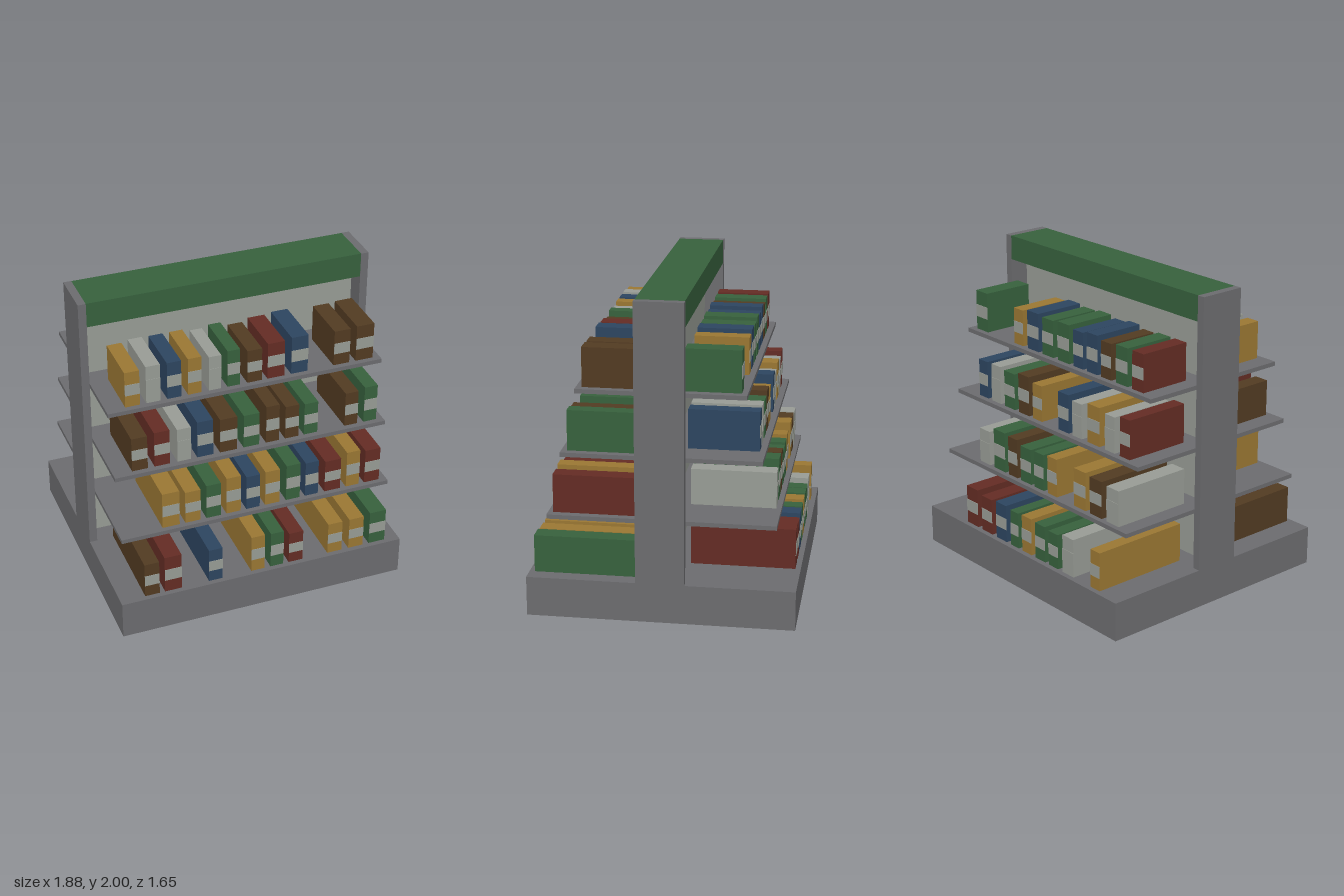
import * as THREE from 'three';

const mat = (name, color, side = THREE.FrontSide) => {
  const m = new THREE.MeshStandardMaterial({ color, side });
  m.name = name;
  return m;
};

export function createModel() {
  const metal = mat('metal grey', 0x6c6c6f, THREE.DoubleSide);
  const pale = mat('pale grey', 0x989c95);
  const green = mat('green', 0x37613d);
  const colours = {
    y: mat('mustard', 0x9a7733), w: pale, b: mat('navy', 0x2d4560), g: green,
    n: mat('brown', 0x523b22), r: mat('dark red', 0x642c24),
  };

  const group = new THREE.Group();
  group.name = 'shelfUnit';

  // Box given by its min and max on each axis
  const box = (name, material, x0, x1, y0, y1, z0, z1, parent = group) => {
    const mesh = new THREE.Mesh(new THREE.BoxGeometry(x1 - x0, y1 - y0, z1 - z0), material);
    mesh.position.set((x0 + x1) / 2, (y0 + y1) / 2, (z0 + z1) / 2);
    mesh.name = name;
    parent.add(mesh);
    return mesh;
  };

  // Hollow plinth, open underneath: drop the six indices of the bottom face
  const plinth = box('plinth', metal, -0.94, 0.94, 0, 0.25, -0.825, 0.825);
  const index = Array.from(plinth.geometry.index.array);
  index.splice(18, 6);
  plinth.geometry.setIndex(index);
  plinth.geometry.clearGroups();

  // Frame: end posts, central panel and header
  box('leftPost', metal, 0.89, 0.94, 0, 2, -0.15, 0.15);
  box('rightPost', metal, -0.94, -0.89, 0, 2, -0.15, 0.15);
  box('backPanel', pale, -0.89, 0.89, 0.25, 1.84, -0.025, 0.025);
  box('header', green, -0.89, 0.89, 1.84, 2, -0.148, 0.148);

  // Shelves get shallower towards the top
  [[0.645, 0.70], [1.045, 0.61], [1.445, 0.513]].forEach(([y, z], i) =>
    box(`shelf${i + 1}`, metal, -0.89, 0.89, y - 0.027, y, -z, z));

  // Each item: colour, left x, right x, height
  const frontRows = [
    [['n', -0.78, -0.685, 0.24], ['r', -0.65, -0.54, 0.26], ['b', -0.36, -0.27, 0.237],
      ['y', -0.077, 0.013, 0.26], ['g', 0.053, 0.14, 0.255], ['r', 0.177, 0.272, 0.223],
      ['y', 0.444, 0.542, 0.223], ['y', 0.59, 0.69, 0.223], ['g', 0.733, 0.844, 0.237]],
    [['y', -0.616, -0.505, 0.25], ['y', -0.468, -0.368, 0.226], ['g', -0.33, -0.235, 0.242],
      ['y', -0.198, -0.103, 0.263], ['b', -0.066, 0.024, 0.242], ['y', 0.06, 0.156, 0.247],
      ['g', 0.201, 0.294, 0.258], ['b', 0.33, 0.418, 0.247], ['r', 0.463, 0.571, 0.226],
      ['y', 0.611, 0.701, 0.258], ['r', 0.738, 0.841, 0.242]],
    [['n', -0.77, -0.67, 0.231], ['r', -0.627, -0.529, 0.242], ['w', -0.481, -0.392, 0.231],
      ['b', -0.352, -0.249, 0.253], ['n', -0.204, -0.093, 0.237], ['g', -0.05, 0.053, 0.231],
      ['n', 0.098, 0.185, 0.26], ['n', 0.225, 0.315, 0.231], ['g', 0.352, 0.442, 0.223],
      ['n', 0.627, 0.714, 0.237], ['g', 0.757, 0.844, 0.253]],
    [['y', -0.77, -0.677, 0.239], ['w', -0.638, -0.548, 0.253], ['b', -0.505, -0.415, 0.25],
      ['y', -0.373, -0.288, 0.25], ['w', -0.24, -0.161, 0.234], ['g', -0.12, -0.04, 0.25],
      ['n', 0.008, 0.103, 0.223], ['r', 0.14, 0.251, 0.245], ['b', 0.296, 0.405, 0.255],
      ['n', 0.579, 0.685, 0.239], ['n', 0.728, 0.844, 0.245]],
  ];
  const backRows = [
    [['y', -0.756, -0.671, 0.25], ['w', -0.51, -0.405, 0.25], ['g', -0.36, -0.27, 0.23],
      ['g', -0.234, -0.138, 0.24], ['y', -0.098, -0.003, 0.245], ['g', 0.033, 0.113, 0.24],
      ['b', 0.158, 0.264, 0.25], ['r', 0.309, 0.415, 0.24], ['r', 0.46, 0.575, 0.258]],
    [['w', -0.786, -0.676, 0.23], ['n', -0.631, -0.52, 0.24], ['y', -0.48, -0.37, 0.25],
      ['y', -0.204, -0.113, 0.25], ['g', -0.073, 0.018, 0.24], ['g', 0.053, 0.158, 0.235],
      ['n', 0.193, 0.284, 0.26], ['g', 0.319, 0.435, 0.268], ['w', 0.48, 0.585, 0.23]],
    [['r', -0.776, -0.686, 0.25], ['w', -0.64, -0.55, 0.23], ['y', -0.5, -0.39, 0.25],
      ['w', -0.334, -0.244, 0.225], ['b', -0.209, -0.108, 0.25], ['y', 0.053, 0.143, 0.235],
      ['n', 0.183, 0.289, 0.26], ['g', 0.329, 0.435, 0.24], ['w', 0.475, 0.57, 0.25],
      ['b', 0.611, 0.701, 0.248]],
    [['r', -0.786, -0.686, 0.24], ['g', -0.646, -0.54, 0.24], ['n', -0.497, -0.405, 0.23],
      ['b', -0.37, -0.274, 0.25], ['b', -0.236, -0.143, 0.235], ['g', -0.103, 0.008, 0.25],
      ['g', 0.053, 0.158, 0.24], ['b', 0.198, 0.309, 0.25], ['y', 0.354, 0.445, 0.235],
      ['g', 0.726, 0.842, 0.26]],
  ];

  // Cartons stand on each level, with a pale label band on the outer end
  const floors = [0.25, 0.645, 1.045, 1.445];
  const reach = [0.792, 0.668, 0.573, 0.477];
  const stock = (rows, side, label) => rows.forEach((row, level) => {
    const shelfStock = new THREE.Group();
    shelfStock.name = `${label}Cartons${level + 1}`;
    group.add(shelfStock);
    const y = floors[level], z = reach[level];
    const span = (a, b) => (side > 0 ? [a, b] : [-b, -a]);
    for (const [c, x0, x1, h] of row) {
      box('carton', colours[c], x0, x1, y, y + h, ...span(0.14, z), shelfStock);
      box('cartonLabel', pale, x0, x1, y + h * 0.33, y + h * 0.64, ...span(z, z + 0.003), shelfStock);
    }
  });
  stock(frontRows, 1, 'front');
  stock(backRows, -1, 'back');

  return group;
}
